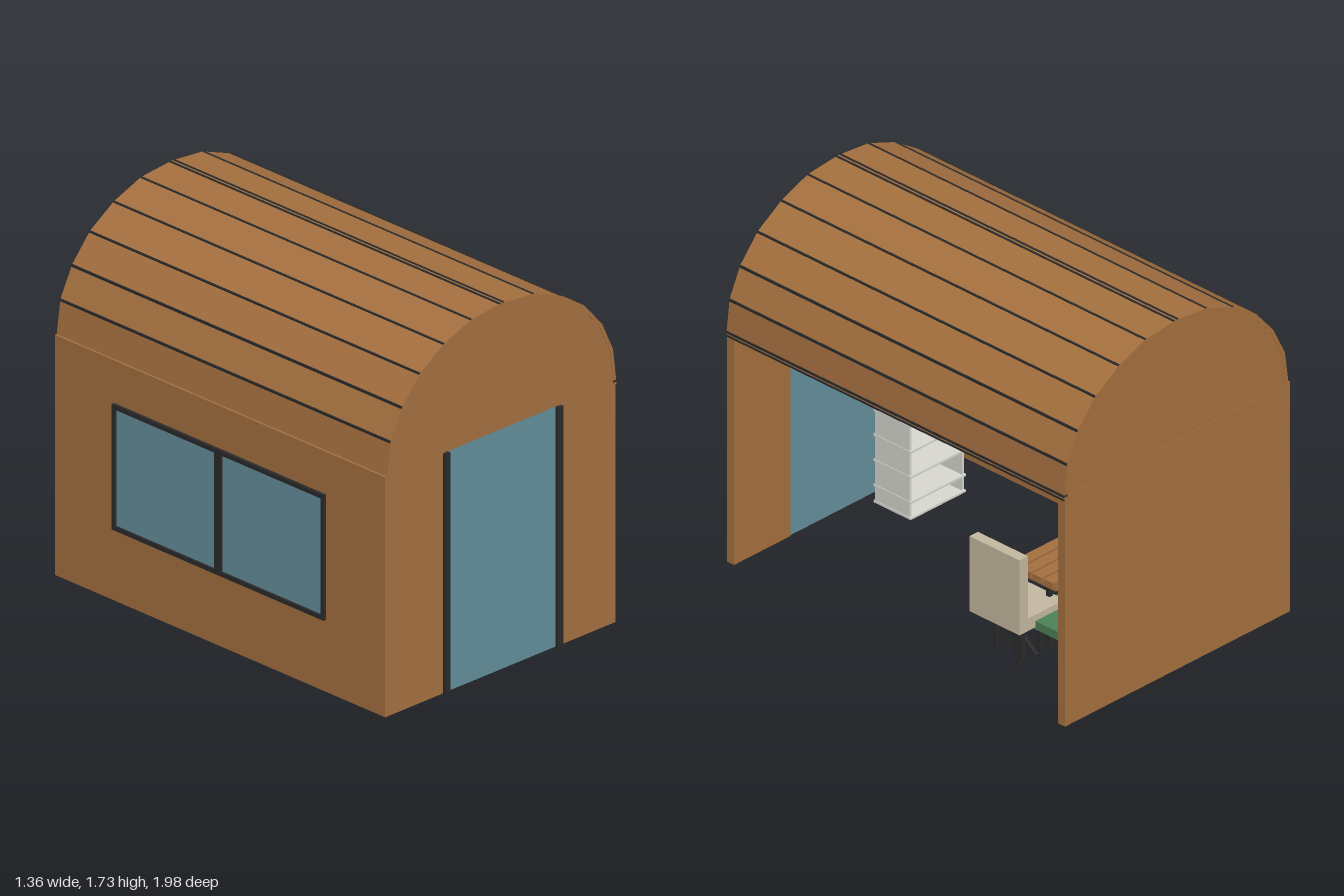
import * as THREE from 'three';

const mat = (name, color) => {
  const m = new THREE.MeshStandardMaterial({ color });
  m.name = name;
  return m;
};

export function createModel() {
  const wood = mat('warm wood', 0xa5703f);
  const glass = mat('blue glass', 0x648f9c);
  const black = mat('black metal', 0x2b2b2b);
  const white = mat('off white', 0xd8d8d0);
  const beige = mat('beige fabric', 0xc4b8a0);
  const green = mat('green fabric', 0x4d8259);

  const root = new THREE.Group();
  root.name = 'cabin';
  const group = (name) => {
    const g = new THREE.Group();
    g.name = name;
    root.add(g);
    return g;
  };
  const add = (parent, name, geometry, material) => {
    const m = new THREE.Mesh(geometry, material);
    m.name = name;
    parent.add(m);
    return m;
  };
  // Box given by its limits on each axis
  const box = (parent, name, material, [x0, x1], [y0, y1], [z0, z1]) => {
    const m = add(parent, name, new THREE.BoxGeometry(Math.abs(x1 - x0), y1 - y0, z1 - z0), material);
    m.position.set((x0 + x1) / 2, (y0 + y1) / 2, (z0 + z1) / 2);
    return m;
  };

  // Walls: the right side is open
  const walls = group('walls');
  const H = [0.05, 1.15];
  box(walls, 'backWall', wood, [-0.67, 0.67], H, [-0.98, -0.94]);
  box(walls, 'leftWall', wood, [-0.67, -0.635], H, [-0.94, 0.94]);
  box(walls, 'frontWallLeft', wood, [0.335, 0.67], H, [0.94, 0.98]);
  box(walls, 'frontWallRight', wood, [-0.67, -0.32], H, [0.94, 0.98]);

  // Sliding glass door
  const door = group('door');
  box(door, 'doorGlass', glass, [-0.32, 0.335], H, [0.945, 0.978]);
  for (const x of [-0.32, 0.336])
    box(door, 'doorPost', black, [x - 0.015, x + 0.015], H, [0.975, 0.995]);

  // Window in the side wall, visible from both sides
  const win = group('window');
  const FX = [-0.685, -0.622], t = 0.02;
  for (const y of [0.38, 0.955 - t]) box(win, 'windowRail', black, FX, [y, y + t], [-0.63, 0.63]);
  for (const z of [-0.62, 0, 0.62]) {
    const w = z === 0 ? 0.02 : 0.01;
    box(win, 'windowPost', black, FX, [0.38, 0.955], [z - w, z + w]);
  }
  for (const z of [-0.315, 0.315])
    box(win, 'windowPane', glass, [-0.675, -0.63], [0.4, 0.935], [z - 0.3, z + 0.3]);

  // Barrel roof made of straight panels
  const roof = group('roof');
  const outer = [[0.675, 1.14], [0.655, 1.305], [0.592, 1.44], [0.488, 1.56], [0.347, 1.65], [0.19, 1.71], [0.01, 1.727],
    [-0.17, 1.71], [-0.328, 1.65], [-0.467, 1.56], [-0.57, 1.44], [-0.638, 1.305], [-0.66, 1.15]];
  const inner = outer.map(([x, y]) => [0.005 + (x - 0.005) * 0.975, 1.14 + (y - 1.14) * 0.972]);
  const extrude = (name, pts, z0, z1) => {
    const shape = new THREE.Shape(pts.map(([x, y]) => new THREE.Vector2(x, y)));
    const m = add(roof, name, new THREE.ExtrudeGeometry(shape, { depth: z1 - z0, bevelEnabled: false }), wood);
    m.position.z = z0;
  };
  extrude('roofPanels', [...outer, ...inner.slice().reverse()], -0.98, 0.98);
  const gable = [...inner.slice(1, -1), [-0.65, 1.15], [0.66, 1.15]];
  extrude('frontGable', gable, 0.95, 0.978);
  extrude('backGable', gable, -0.978, -0.95);
  // Dark seams between the panels
  outer.slice(1, -1).forEach(([x, y], i) => {
    for (const s of i === 5 ? [-0.012, 0.01] : [0])
      box(roof, 'roofSeam', black, [x + s - 0.005, x + s + 0.005], [y - 0.009, y + 0.002], [-0.979, 0.979]);
  });
  box(roof, 'eaveTrim', black, [0.65, 0.678], [1.135, 1.143], [-0.98, 0.98]);
  box(roof, 'eaveTrim', black, [0.655, 0.677], [1.15, 1.16], [-0.98, 0.98]);
  box(roof, 'ceilingLight', white, [-0.055, 0.055], [1.61, 1.66], [-0.48, 0.48]);

  // Two beige seats facing each other across the table
  for (const s of [1, -1]) {
    const g = group('beigeChair');
    const X = (d) => 0.01 + s * d;
    box(g, 'seat', beige, [X(0.24), X(0.51)], [0.26, 0.32], [-0.57, -0.28]);
    box(g, 'backrest', beige, [X(0.46), X(0.51)], [0.32, 0.62], [-0.57, -0.28]);
    box(g, 'centrePost', black, [X(0.363), X(0.377)], [0, 0.26], [-0.437, -0.407]);
    for (const d of [0.315, 0.425]) for (const z of [-0.5, -0.35])
      box(g, 'chairLeg', black, [X(d - 0.01), X(d + 0.01)], [0.08, 0.26], [z - 0.01, z + 0.01]);
    for (const r of [1, -1]) {
      const brace = add(g, 'crossBrace', new THREE.BoxGeometry(0.018, 0.018, 0.28), black);
      brace.position.set(X(0.37), 0.175, -0.422);
      brace.rotation.x = r * 0.66;
    }
  }

  // Slatted table
  const table = group('table');
  for (let i = 0; i < 4; i++) {
    const z = -0.55 + i * 0.066;
    box(table, 'tableSlat', wood, [-0.28, 0.3], [0.385, 0.41], [z, z + 0.054]);
  }
  for (const x of [-0.25, 0.27]) {
    box(table, 'tableBearer', wood, [x - 0.015, x + 0.015], [0.365, 0.385], [-0.55, -0.3]);
    for (const z of [-0.5, -0.35])
      box(table, 'tableLeg', black, [x - 0.01, x + 0.01], [0.08, 0.37], [z - 0.01, z + 0.01]);
  }

  // Two green chairs at the back
  for (const x of [0.1, -0.36]) {
    const g = group('greenChair');
    box(g, 'seat', green, [x, x + 0.325], [0.25, 0.29], [-0.76, -0.48]);
    box(g, 'backrest', green, [x, x + 0.325], [0.29, 0.585], [-0.76, -0.712]);
  }

  // Potted plants
  for (const [x, z] of [[-0.37, -0.605], [-0.49, -0.73]]) {
    const g = group('pottedPlant');
    add(g, 'pot', new THREE.CylinderGeometry(0.077, 0.077, 0.11, 24), white).position.set(x, 0.105, z);
    add(g, 'stem', new THREE.CylinderGeometry(0.008, 0.008, 0.2, 8), wood).position.set(x, 0.25, z);
    box(g, 'leaves', green, [x - 0.05, x + 0.05], [0.335, 0.375], [z - 0.05, z + 0.05]);
    box(g, 'leafTip', green, [x - 0.02, x + 0.02], [0.375, 0.395], [z - 0.02, z + 0.02]);
  }

  // Open bookshelf
  const shelf = group('bookshelf');
  for (const x of [-0.42, -0.11])
    box(shelf, 'shelfSide', white, [x, x + 0.012], [0.06, 0.83], [0.67, 0.87]);
  for (let i = 0; i < 7; i++) {
    const y = i ? 0.02 + i * 0.121 : 0.065;
    box(shelf, 'shelfBoard', white, [-0.425, -0.095], [y - 0.005, y + 0.005], [0.662, 0.878]);
  }

  // Air conditioner over the door
  const ac = group('airConditioner');
  box(ac, 'housing', white, [-0.23, 0.23], [0.89, 1.07], [0.83, 0.94]);
  box(ac, 'vent', black, [-0.17, 0.17], [0.945, 0.955], [0.822, 0.831]);
  for (let i = 0; i < 16; i++) {
    const x = -0.165 + i * 0.022;
    box(ac, 'ventFin', black, [x - 0.004, x + 0.004], [0.955, 0.985], [0.824, 0.831]);
  }

  // Wall sockets
  for (const z of [0.64, -0.64]) {
    const g = group('wallSocket');
    box(g, 'plate', black, [-0.636, -0.628], [0.29, 0.33], [z - 0.035, z + 0.035]);
    for (const d of [-0.015, 0.015])
      box(g, 'outlet', white, [-0.629, -0.626], [0.303, 0.317], [z + d - 0.007, z + d + 0.007]);
  }
  return root;
}
